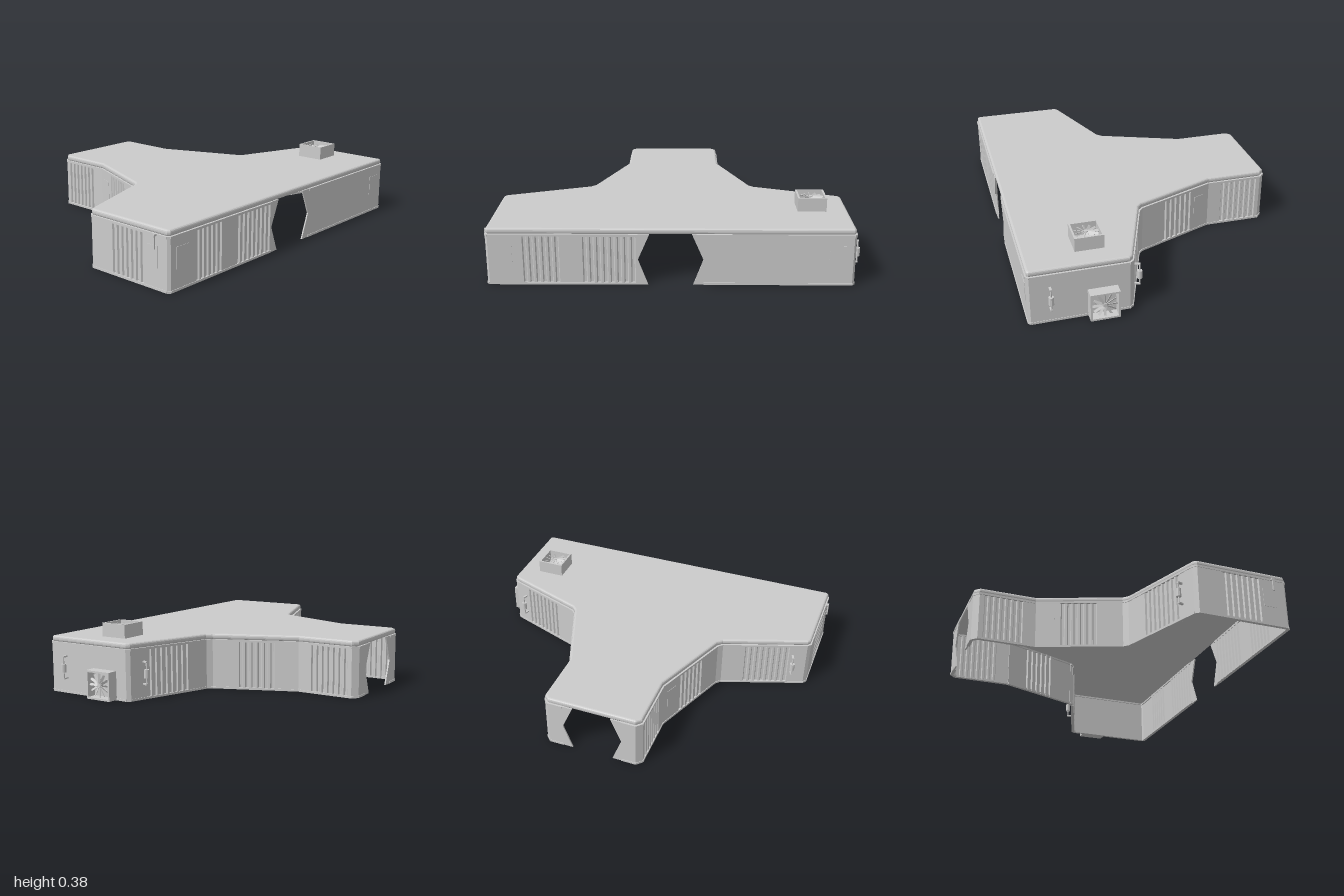
import * as THREE from 'three';

const MID = 0.0175;      // z of the symmetry plane
const H = 0.28;          // wall height
const T = 0.008;         // wall thickness
const mat = new THREE.MeshStandardMaterial({ color: 0xcccccc, flatShading: true, side: THREE.DoubleSide });

function add(parent, name, geo, x = 0, y = 0, z = 0) {
  const m = new THREE.Mesh(geo, mat);
  m.name = name;
  m.position.set(x, y, z);
  parent.add(m);
  return m;
}
const box = (w, h, d) => new THREE.BoxGeometry(w, h, d);
const extrude = (shape, depth) => new THREE.ExtrudeGeometry(shape, { depth, bevelEnabled: false });
const poly = pts => new THREE.Shape(pts.map(p => new THREE.Vector2(p[0], p[1])));

// Plan of the +z half, from the broad side round to the narrow end.
// zones and windows are fractions of the wall's length.
const half = [
  { a: [0.765, 0.17], b: [0.765, 0.945], zones: [[0.01, 0.38], [0.52, 0.78]], windows: [[0.84, 0.95]] },
  { a: [0.765, 0.945], b: [0.752, 0.9575] },
  { a: [0.752, 0.9575], b: [0.24, 0.9575], zones: [[0.29, 0.73]], windows: [[0.12, 0.26]], frontOnly: true },
  { a: [0.24, 0.9575], b: [0.22, 0.942] },
  { a: [0.22, 0.942], b: [0.055, 0.48], zones: [[0.2, 0.75]] },
  { a: [0.055, 0.48], b: [0.03, 0.455] },
  { a: [0.03, 0.455], b: [-0.42, 0.2825], zones: [[0.29, 0.73]], windows: [[0.78, 0.93]] },
  { a: [-0.42, 0.2825], b: [-0.74, 0.2825], zones: [[0.22, 0.94]] },
  { a: [-0.74, 0.2825], b: [-0.77, 0.2525] },
  { a: [-0.77, 0.2525], b: [-0.77, 0.17] },
];

function mirrored(w) {
  const flip = list => (list || []).map(([s, e]) => [1 - e, 1 - s]);
  return {
    a: [w.b[0], -w.b[1]], b: [w.a[0], -w.a[1]],
    zones: w.frontOnly ? [] : flip(w.zones), windows: w.frontOnly ? [] : flip(w.windows),
  };
}

// One straight wall: local x runs along it, local -z points outwards
function buildWall({ a, b, zones = [], windows = [] }) {
  const g = new THREE.Group();
  g.name = 'wall';
  const dx = b[0] - a[0], dz = b[1] - a[1], len = Math.hypot(dx, dz);
  g.position.set(a[0], 0, a[1] + MID);
  g.rotation.y = Math.atan2(-dz, dx);

  // corrugated plan line
  const line = [[0, 0]];
  for (const [s, e] of zones) {
    const n = Math.max(1, Math.round((e - s) * len / 0.034));
    const p = (e - s) * len / n;
    for (let i = 0; i < n; i++) {
      const u = s * len + i * p;
      line.push([u + 0.1 * p, 0], [u + 0.25 * p, -0.009], [u + 0.6 * p, -0.009], [u + 0.75 * p, 0]);
    }
  }
  line.push([len, 0]);
  const inner = line.map(([u, v]) => [u, v - T]).reverse();
  const geo = extrude(poly([...line, ...inner]), H);
  geo.rotateX(-Math.PI / 2);
  add(g, 'wallPanel', geo);

  // base and head rails
  add(g, 'baseRail', box(len, 0.012, 0.018), len / 2, 0.006, 0.006);
  add(g, 'headRail', box(len, 0.012, 0.018), len / 2, H - 0.006, 0.006);

  // shallow hatch panels
  for (const [s, e] of windows) {
    add(g, 'hatchPanel', box((e - s) * len, 0.11, 0.004), (s + e) / 2 * len, 0.165, 0);
  }
  return g;
}

// Fan: hub and tilted blades lying in the xz plane, axis along y
function buildFan(radius) {
  const g = new THREE.Group();
  g.name = 'fan';
  add(g, 'hub', new THREE.CylinderGeometry(radius * 0.16, radius * 0.16, 0.014, 12));
  for (let i = 0; i < 12; i++) {
    const arm = new THREE.Group();
    arm.name = 'bladeArm';
    arm.rotation.y = i * Math.PI / 6;
    const blade = add(arm, 'blade', box(radius * 0.85, 0.002, radius * 0.2), radius * 0.55, 0, 0);
    blade.rotation.x = 0.6;
    g.add(arm);
  }
  return g;
}

// Square housing, open at the top, with a fan inside
function buildVent(name, size, height) {
  const g = new THREE.Group();
  g.name = name;
  const s = size / 2, i = s - 0.01;
  const frame = poly([[-s, -s], [s, -s], [s, s], [-s, s]]);
  frame.holes.push(new THREE.Path([[-i, -i], [-i, i], [i, i], [i, -i]].map(p => new THREE.Vector2(...p))));
  const geo = extrude(frame, height);
  geo.rotateX(-Math.PI / 2);
  add(g, 'housing', geo);
  add(g, 'backPlate', box(size - 0.01, 0.004, size - 0.01), 0, 0.004, 0);
  const fan = buildFan(i);
  fan.position.y = height - 0.016;
  g.add(fan);
  return g;
}

// Upright pipe with a valve box and wall brackets; 'out' is the angle facing away from the wall
function buildPipe(x, z, out) {
  const g = new THREE.Group();
  g.name = 'pipeFitting';
  g.position.set(x, 0, z);
  g.rotation.y = out;
  add(g, 'pipe', new THREE.CylinderGeometry(0.004, 0.004, 0.13, 8), 0, 0.145, 0);
  add(g, 'valve', new THREE.CylinderGeometry(0.014, 0.014, 0.046, 10), 0, 0.143, 0);
  for (const y of [0.085, 0.205]) add(g, 'bracket', box(0.012, 0.008, 0.034), 0, y, -0.013);
  return g;
}

export function createModel() {
  const root = new THREE.Group();
  root.name = 'building';

  // walls, both halves
  const walls = new THREE.Group();
  walls.name = 'walls';
  for (const w of half) walls.add(buildWall(w), buildWall(mirrored(w)));
  root.add(walls);

  // pointed jambs either side of the two end openings
  for (const x of [0.765, -0.77 + T]) for (const side of [1, -1]) {
    const jamb = poly([[0.18, 0], [0.1175, 0], [0.17, 0.14], [0.11, H], [0.18, H]].map(([h, y]) => [-side * h, y]));
    const geo = extrude(jamb, T);
    geo.translate(0, 0, -T);
    const m = add(root, 'openingJamb', geo, x, 0, MID);
    m.rotation.y = Math.PI / 2;
  }

  // roof slab with rounded edges, shape y becomes -z
  const edge = half.map(w => w.b).filter((p, i) => i < half.length - 1);
  edge.unshift([0.765, 0.945]);
  const ring = [...edge.slice(1), ...edge.slice(1).reverse().map(([x, h]) => [x, -h])];
  const roofGeo = new THREE.ExtrudeGeometry(poly(ring.map(([x, h]) => [x, -h])), {
    depth: 0.008, bevelEnabled: true, bevelThickness: 0.012, bevelSize: 0.012, bevelOffset: -0.015, bevelSegments: 3,
  });
  roofGeo.rotateX(-Math.PI / 2);
  add(root, 'roof', roofGeo, 0, H + 0.01, MID);

  // roof fan and wall fan
  const roofVent = buildVent('roofVent', 0.155, 0.078);
  roofVent.position.set(0.418, 0.307, -0.742);
  root.add(roofVent);
  const wallVent = buildVent('wallVent', 0.155, 0.06);
  wallVent.rotation.x = -Math.PI / 2;
  wallVent.position.set(0.383, 0.08, -0.94);
  root.add(wallVent);

  // pipe fittings on the slanted walls and the rear wall
  root.add(buildPipe(0.167, 0.893, -1.23), buildPipe(0.167, -0.858, Math.PI + 1.23), buildPipe(0.65, -0.967, Math.PI));

  // short hanging rod on the front wall
  add(root, 'hangingRod', box(0.01, 0.075, 0.008), 0.68, 0.243, 0.988);
  add(root, 'rodBracket', box(0.016, 0.01, 0.016), 0.68, 0.275, 0.984);

  return root;
}
